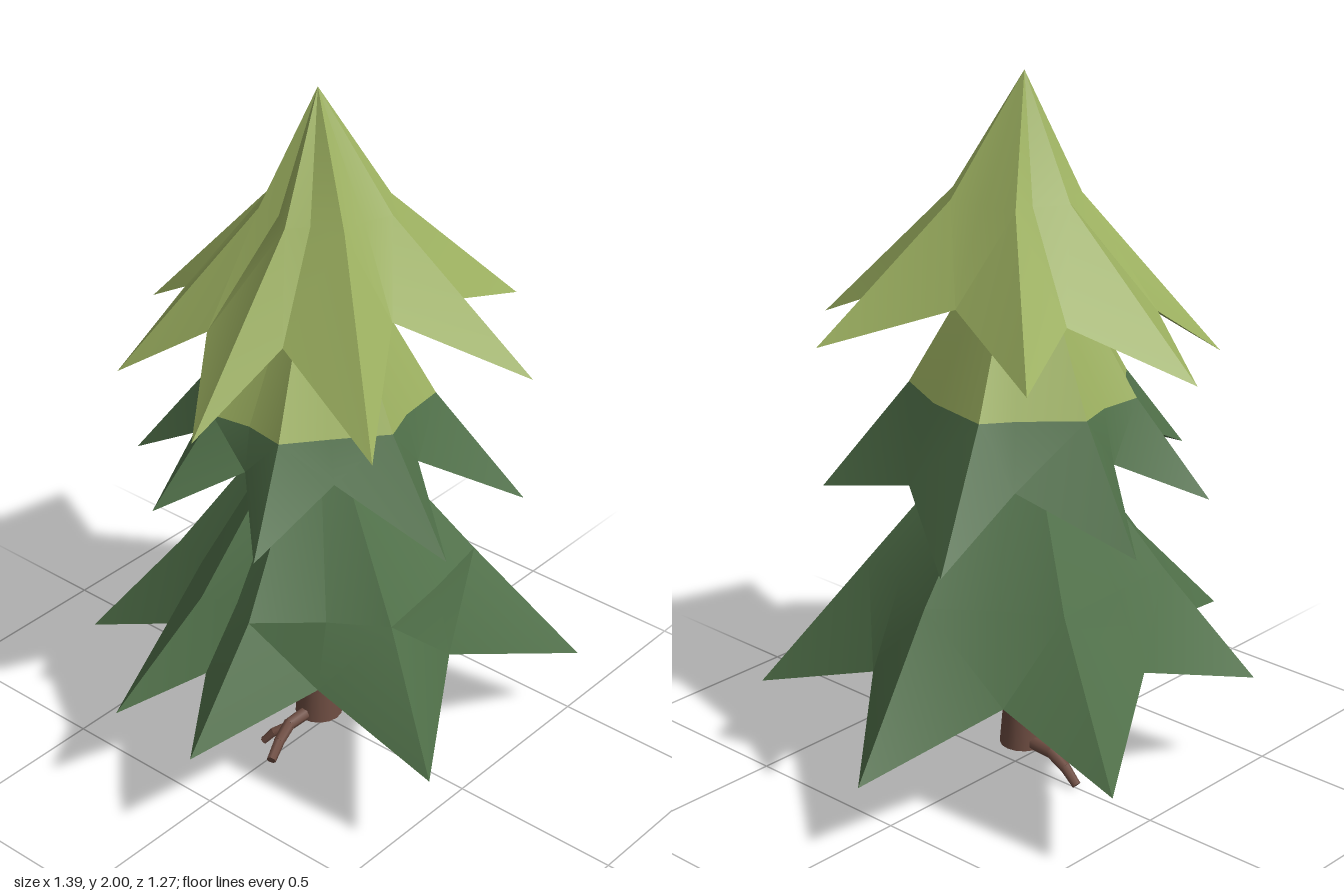
import * as THREE from 'three';
import { toCreasedNormals } from 'three/addons/utils/BufferGeometryUtils.js';

const lightNeedles = new THREE.MeshStandardMaterial({ color: 0x9cb060 });
lightNeedles.name = 'lightNeedles';
const darkNeedles = new THREE.MeshStandardMaterial({ color: 0x507049 });
darkNeedles.name = 'darkNeedles';
const bark = new THREE.MeshStandardMaterial({ color: 0x6d4c41 });
bark.name = 'bark';

const CENTRE_X = -0.035;

// Mesh from corner triples: soft across shallow bends, sharp along the branch creases
function needleMesh(name, points, materials) {
  const geometry = toCreasedNormals(new THREE.BufferGeometry().setFromPoints(points), 0.4);
  const mesh = new THREE.Mesh(geometry, materials);
  mesh.name = name;
  return mesh;
}

// Star-shaped skirt of branches: apex, bend ring, jagged rim, hollowed underside.
// rim alternates tip, valley as [x, y, z], running from +x towards +z.
function tier(name, { apexY, ringY, ringAt, ridge, valley, underY, rim, upper, lower }) {
  const apex = new THREE.Vector3(CENTRE_X, apexY, 0);
  const under = new THREE.Vector3(CENTRE_X, underY, 0);
  const edge = rim.map((p) => new THREE.Vector3(...p));
  const ring = edge.map((p, i) => {
    const a = Math.atan2(p.z, p.x - CENTRE_X);
    const r = i % 2 ? valley : ridge;
    return new THREE.Vector3(ringAt[0] + r * Math.cos(a), ringY, ringAt[1] + r * Math.sin(a));
  });
  const crown = [], skirt = [], underside = [];
  edge.forEach((b, i) => {
    const j = (i + 1) % edge.length;
    const r = ring[i], rj = ring[j], bj = edge[j];
    crown.push(apex, rj, r);
    // split each panel from the ridge down to the valley
    if (i % 2 === 0) skirt.push(r, bj, b, r, rj, bj);
    else skirt.push(r, rj, b, rj, bj, b);
    underside.push(under, b, bj);
  });
  const boughs = needleMesh(name + 'Boughs', [...crown, ...skirt], [upper, lower]);
  boughs.geometry.addGroup(0, crown.length, 0);
  boughs.geometry.addGroup(crown.length, skirt.length, 1);
  const group = new THREE.Group();
  group.name = name;
  group.add(boughs, needleMesh(name + 'Underside', underside, lower));
  return group;
}

// Root made of tapering straight pieces through the given points
function root(name, points, r0, r1) {
  const group = new THREE.Group();
  group.name = name;
  const v = points.map((p) => new THREE.Vector3(...p));
  const n = v.length - 1;
  const radius = (t) => r0 + (r1 - r0) * t / n;
  for (let i = 0; i < n; i++) {
    const dir = v[i + 1].clone().sub(v[i]);
    const geometry = new THREE.CylinderGeometry(radius(i + 1), radius(i), dir.length() + 0.006, 7);
    const piece = new THREE.Mesh(geometry, bark);
    piece.name = name + 'Piece';
    piece.position.copy(v[i]).add(v[i + 1]).multiplyScalar(0.5);
    piece.quaternion.setFromUnitVectors(new THREE.Vector3(0, 1, 0), dir.normalize());
    group.add(piece);
  }
  return group;
}

export function createModel() {
  const tree = new THREE.Group();
  tree.name = 'pineTree';

  tree.add(tier('topTier', {
    apexY: 2, ringY: 1.67, ringAt: [-0.015, 0.015], ridge: 0.178, valley: 0.14, underY: 1.56,
    upper: lightNeedles, lower: lightNeedles,
    rim: [
      [0.475, 1.305, 0.27], [0.18, 1.4, 0.27],
      [0.17, 1.27, 0.557], [-0.07, 1.44, 0.28],
      [-0.36, 1.22, 0.458], [-0.3, 1.4, 0.11],
      [-0.56, 1.205, 0.03], [-0.335, 1.38, -0.12],
      [-0.43, 1.215, -0.36], [-0.19, 1.38, -0.335],
      [-0.1, 1.245, -0.545], [0.12, 1.4, -0.29],
      [0.36, 1.295, -0.37], [0.25, 1.42, -0.02],
    ],
  }));

  tree.add(tier('middleTier', {
    apexY: 1.69, ringY: 1.13, ringAt: [CENTRE_X, 0], ridge: 0.315, valley: 0.275, underY: 1.08,
    upper: lightNeedles, lower: darkNeedles,
    rim: [
      [0.5, 0.795, -0.2], [0.3, 0.91, 0.11],
      [0.29, 0.81, 0.458], [0.01, 1.0, 0.31],
      [-0.14, 0.85, 0.53], [-0.25, 1.02, 0.24],
      [-0.51, 0.885, 0.19], [-0.33, 1.0, 0],
      [-0.5, 0.885, -0.18], [-0.27, 1.0, -0.24],
      [-0.26, 0.86, -0.47], [-0.05, 0.98, -0.31],
      [0.12, 0.825, -0.535], [0.24, 0.96, -0.22],
    ],
  }));

  tree.add(tier('bottomTier', {
    apexY: 1.15, ringY: 0.615, ringAt: [-0.03, 0.025], ridge: 0.41, valley: 0.35, underY: 0.56,
    upper: darkNeedles, lower: darkNeedles,
    rim: [
      [0.695, 0.225, -0.08], [0.39, 0.37, 0.17],
      [0.46, 0.24, 0.55], [0.04, 0.4, 0.41],
      [-0.325, 0.295, 0.635], [-0.34, 0.42, 0.26],
      [-0.695, 0.325, 0.12], [-0.48, 0.42, -0.02],
      [-0.68, 0.325, -0.17], [-0.37, 0.41, -0.27],
      [-0.4, 0.3, -0.535], [-0.06, 0.4, -0.42],
      [0.32, 0.25, -0.635], [0.33, 0.38, -0.26],
    ],
  }));

  // Trunk, waisted low down and flaring under the boughs, with a closed foot
  const profile = [[0.068, 0.055], [0.06, 0.15], [0.058, 0.22], [0.066, 0.32], [0.076, 0.43], [0.088, 0.56]]
    .map((p) => new THREE.Vector2(...p));
  const trunk = new THREE.Mesh(new THREE.LatheGeometry(profile, 16), bark);
  trunk.name = 'trunk';
  trunk.position.x = CENTRE_X;
  const foot = new THREE.Mesh(new THREE.CircleGeometry(0.068, 16), bark);
  foot.name = 'trunkFoot';
  foot.rotation.x = Math.PI / 2;
  foot.position.set(CENTRE_X, 0.055, 0);
  tree.add(trunk, foot);

  // Roots: a forked one to the right, a single one to the back
  tree.add(
    root('rightRoot', [[-0.07, 0.073, 0], [-0.16, 0.068, -0.005], [-0.22, 0.05, 0.01], [-0.275, 0.028, 0.03]], 0.02, 0.014),
    root('rightRootFork', [[-0.17, 0.065, -0.005], [-0.195, 0.05, -0.03], [-0.21, 0.016, -0.055]], 0.015, 0.011),
    root('backRoot', [[-0.02, 0.073, -0.04], [-0.01, 0.073, -0.13], [0, 0.05, -0.19], [0, 0.012, -0.23]], 0.021, 0.013),
  );
  return tree;
}
